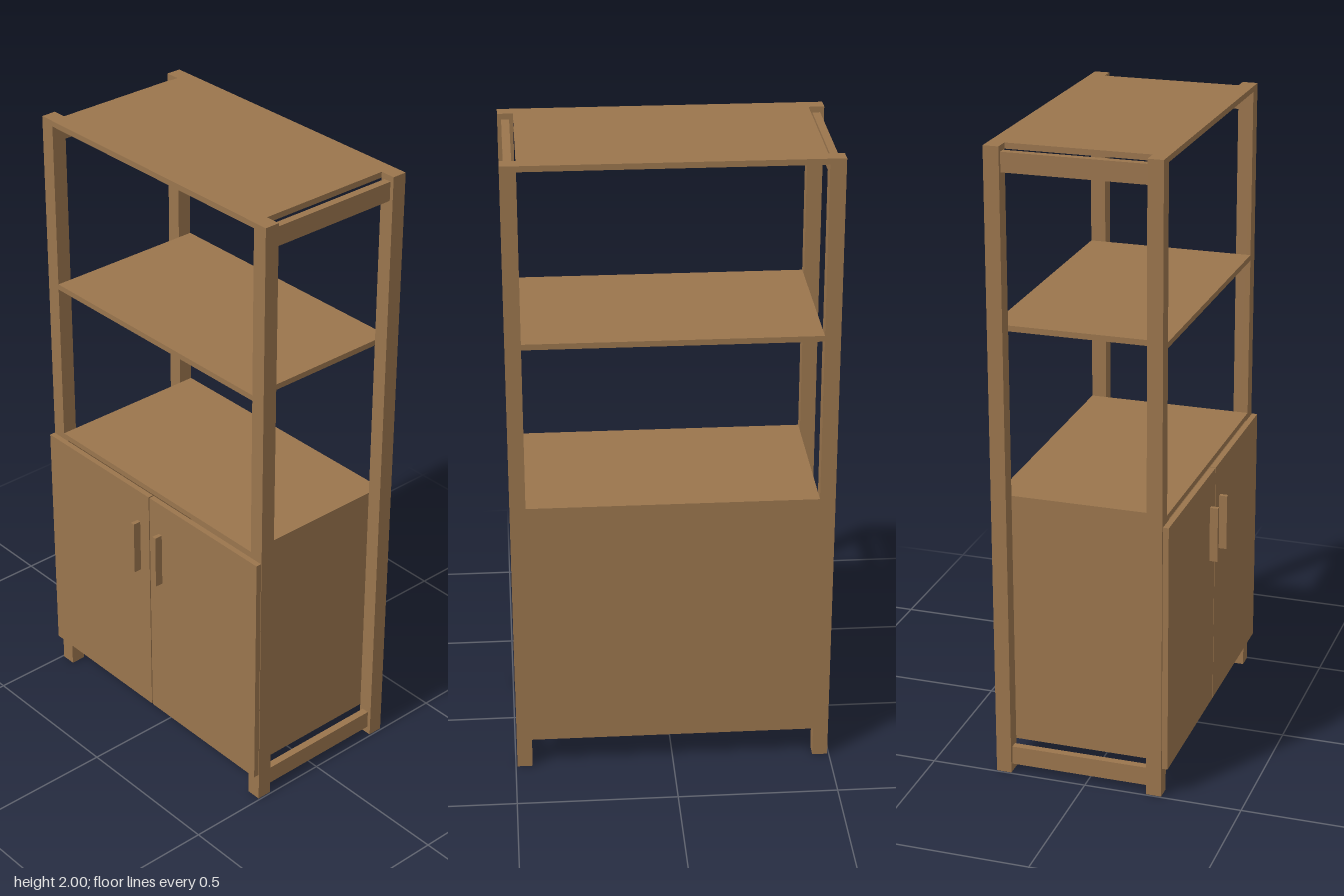
import * as THREE from 'three';

export function createModel() {
  const wood = new THREE.MeshStandardMaterial({ color: 0x9a754d });
  wood.name = 'wood';
  const model = new THREE.Group();
  model.name = 'shelfCabinet';

  // Box given by its lower and upper limits on each axis
  const board = (name, [x0, x1], [y0, y1], [z0, z1]) => {
    const mesh = new THREE.Mesh(new THREE.BoxGeometry(x1 - x0, y1 - y0, z1 - z0), wood);
    mesh.position.set((x0 + x1) / 2, (y0 + y1) / 2, (z0 + z1) / 2);
    mesh.name = name;
    model.add(mesh);
  };
  // Same board on both sides; x limits are those of the left one
  const pair = (name, [x0, x1], y, z) => {
    board(name + 'Left', [x0, x1], y, z);
    board(name + 'Right', [-x1, -x0], y, z);
  };

  const T = 0.018; // board thickness
  const inner = 0.447, outer = 0.495; // post limits in x
  const back = -0.291, front = 0.245; // frame limits in z
  const post = outer - inner;

  // Four corner posts
  pair('frontPost', [inner, outer], [0, 2], [front - post, front]);
  pair('backPost', [inner, outer], [0, 2], [back, back + post]);

  // Side rails joining the posts at top and bottom
  for (const [name, y] of [['topRail', [1.922, 1.982]], ['bottomRail', [0.025, 0.085]]]) {
    pair(name, [0.459, 0.483], y, [back + post, front - post]);
  }

  // Shelves, from cabinet floor to top
  const shelves = { cabinetFloor: 0.097, cabinetTop: 0.897, middleShelf: 1.435, topShelf: 1.982 };
  for (const [name, y] of Object.entries(shelves)) {
    board(name, [-inner, inner], [y, y + T], [back, front]);
  }

  // Cabinet sides and back
  pair('sidePanel', [inner - T, inner], [0.115, 0.897], [back, front]);
  board('backPanel', [T - inner, inner - T], [0.115, 0.897], [back, back + T]);

  // Doors and their bar handles
  pair('door', [0.002, outer], [0.097, 0.896], [0.247, 0.265]);
  pair('handle', [0.045, 0.059], [0.605, 0.785], [0.265, 0.291]);

  return model;
}
